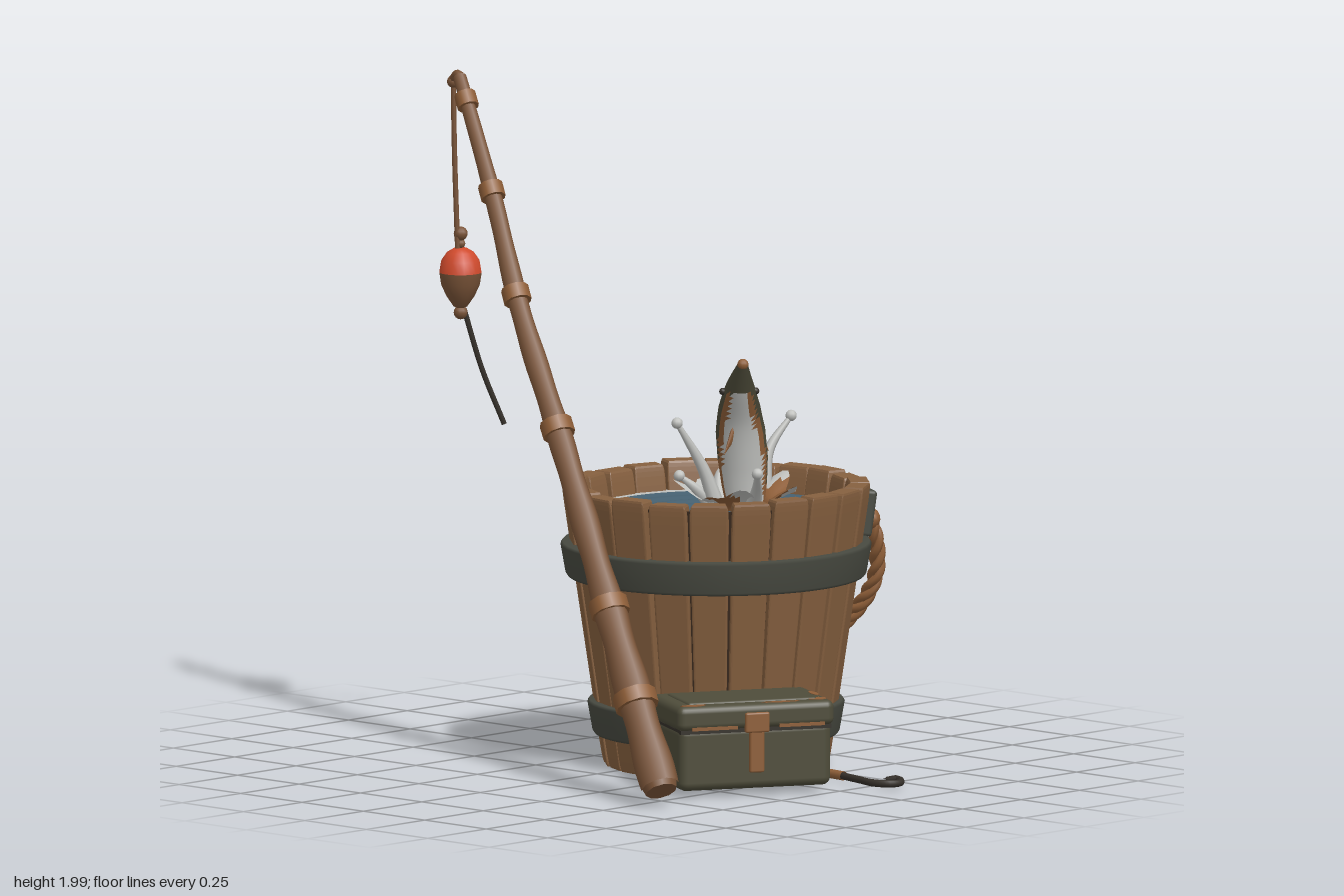
import * as THREE from 'three';
import { RoundedBoxGeometry } from 'three/addons/geometries/RoundedBoxGeometry.js';

const V = (x, y, z) => new THREE.Vector3(x, y, z);
const mat = (name, color, side = THREE.FrontSide) => {
  const m = new THREE.MeshStandardMaterial({ color, side });
  m.name = name;
  return m;
};

export function createModel() {
  const M = {
    wood: mat('stave wood', 0x86603f),
    dark: mat('dark gap', 0x3a2a1e),
    rod: mat('rod wood', 0x7a5438),
    iron: mat('iron band', 0x474940),
    olive: mat('olive paint', 0x4e4c3a),
    water: mat('water', 0x456070),
    red: mat('float red', 0xcf4a2c),
    foam: mat('foam', 0xbfc0bd, THREE.DoubleSide),
    rust: mat('rust brown', 0x8e5e38, THREE.DoubleSide),
    line: mat('dark line', 0x35302a),
  };
  const model = new THREE.Group();
  let seed = 7;
  const rnd = () => (seed = (seed * 16807) % 2147483647) / 2147483647;

  const add = (name, geo, material, pos = [0, 0, 0], parent = model) => {
    const m = new THREE.Mesh(geo, material);
    m.name = name;
    m.position.set(...pos);
    parent.add(m);
    return m;
  };
  const curve = pts => new THREE.CatmullRomCurve3(pts.map(p => V(...p)));
  // tube whose radius follows a rule along its length
  const taper = (path, segs, sides, radius) => {
    const g = new THREE.TubeGeometry(path, segs, 1, sides);
    const p = g.attributes.position, v = V(0, 0, 0);
    for (let i = 0; i < p.count; i++) {
      const t = Math.floor(i / (sides + 1)) / segs, c = path.getPointAt(t);
      v.fromBufferAttribute(p, i).sub(c).multiplyScalar(radius(t)).add(c);
      p.setXYZ(i, v.x, v.y, v.z);
    }
    return g;
  };
  // sorts the faces into material groups by their centre
  const paint = (geo, count, pick) => {
    const p = geo.attributes.position, idx = geo.index.array;
    const lists = Array.from({ length: count }, () => []), v = V(0, 0, 0), c = V(0, 0, 0);
    for (let i = 0; i < idx.length; i += 3) {
      c.set(0, 0, 0);
      for (let k = 0; k < 3; k++) c.addScaledVector(v.fromBufferAttribute(p, idx[i + k]), 1 / 3);
      lists[pick(c)].push(idx[i], idx[i + 1], idx[i + 2]);
    }
    geo.clearGroups();
    let start = 0;
    lists.forEach((l, i) => { geo.addGroup(start, l.length, i); start += l.length; });
    geo.setIndex(lists.flat());
    return geo;
  };

  // ---- bucket ----
  const bucket = new THREE.Group();
  bucket.name = 'bucket';
  bucket.position.set(0.143, 0, 0.11);
  model.add(bucket);
  const R = y => 0.33 + 0.125 * y / 0.845;
  const N = 22;
  for (let i = 0; i < N; i++) {
    const w = Math.PI * 2 / N, half = w * (0.455 + rnd() * 0.03);
    const top = 0.835 + rnd() * 0.015, out = (rnd() - 0.5) * 0.012;
    const g = new RoundedBoxGeometry(1, 1, 1, 2, 0.07), p = g.attributes.position;
    for (let k = 0; k < p.count; k++) {
      const y = 0.005 + (p.getY(k) + 0.5) * (top - 0.005);
      const a = i * w + p.getX(k) * 2 * half;
      const r = R(y) + out - 0.065 * (0.5 - p.getZ(k));
      p.setXYZ(k, Math.sin(a) * r, y, Math.cos(a) * r);
    }
    g.computeVertexNormals();
    add('stave', g, M.wood, [0, 0, 0], bucket);
  }
  add('staveGaps', new THREE.CylinderGeometry(R(0.82) - 0.022, R(0.02) - 0.022, 0.8, 44, 1, true), M.dark, [0, 0.42, 0], bucket);
  add('bucketFloor', new THREE.CylinderGeometry(0.29, 0.29, 0.03, 40), M.rod, [0, 0.055, 0], bucket);
  for (const [y0, y1, o] of [[0.1, 0.2, 0.02], [0.57, 0.67, 0.03]]) {
    const pts = [[R(y0) - 0.02, y0], [R(y0) + o - 0.006, y0], [R(y0) + o, y0 + 0.008], [R(y1) + o, y1 - 0.008],
      [R(y1) + o - 0.006, y1], [R(y1) - 0.02, y1]].map(q => new THREE.Vector2(...q));
    add('ironBand', new THREE.LatheGeometry(pts, 48), M.iron, [0, 0, 0], bucket);
  }
  // water with faint ripples
  const ripple = [];
  for (let i = 0; i <= 24; i++) ripple.push(new THREE.Vector2(0.4 * (1 - i / 24), 0.757 + 0.004 * Math.sin(i * 1.3)));
  add('water', new THREE.LatheGeometry(ripple, 48), M.water, [0, 0, 0], bucket);
  const foam = add('foamPatch', new THREE.RingGeometry(0.35, 0.4, 24, 1, 0.75, 1.1), M.foam, [0, 0.764, 0], bucket);
  foam.rotation.x = -Math.PI / 2;

  // ---- rope handle ----
  for (const [x, z] of [[0.41, 0.21], [-0.06, -0.455]]) {
    const ear = new THREE.Group();
    ear.name = 'handleEar';
    const a = Math.atan2(x, z);
    ear.position.set(Math.sin(a) * 0.452, 0.735, Math.cos(a) * 0.452);
    ear.rotation.set(0.14, a, 0, 'YXZ');
    bucket.add(ear);
    add('earPlate', new RoundedBoxGeometry(0.12, 0.14, 0.05, 2, 0.012), M.iron, [0, 0, 0], ear);
    add('earHole', new THREE.CircleGeometry(0.032, 16), M.dark, [0, -0.01, 0.027], ear);
    add('ropeKnot', new THREE.SphereGeometry(0.033, 12, 8), M.rust, [0, -0.02, 0.03], ear);
  }
  const ropePath = curve([[0.57, 0.71, 0.33], [0.605, 0.62, 0.325], [0.62, 0.52, 0.3], [0.61, 0.41, 0.22], [0.59, 0.33, 0.11],
    [0.575, 0.285, 0.0], [0.55, 0.285, -0.1], [0.43, 0.36, -0.28], [0.27, 0.47, -0.38], [0.15, 0.57, -0.415], [0.08, 0.67, -0.395], [0.08, 0.73, -0.36]]);
  const n = 150, fr = ropePath.computeFrenetFrames(n);
  for (let s = 0; s < 3; s++) {
    const pts = [];
    for (let i = 0; i <= n; i++) {
      const a = i * 0.42 + s * Math.PI * 2 / 3;
      pts.push(ropePath.getPointAt(i / n).addScaledVector(fr.normals[i], Math.cos(a) * 0.012).addScaledVector(fr.binormals[i], Math.sin(a) * 0.012));
    }
    add('ropeStrand', new THREE.TubeGeometry(new THREE.CatmullRomCurve3(pts), 200, 0.0135, 6), M.rust);
  }
  const grip = add('handleGrip', new THREE.CylinderGeometry(0.05, 0.062, 0.15, 10, 3), M.rod, [0.575, 0.295, 0.03]);
  grip.quaternion.setFromUnitVectors(V(0, 1, 0), V(0.1, 0.5, 0.9).normalize());
  for (const y of [-0.055, 0.05]) {
    const ring = add('gripRing', new THREE.TorusGeometry(0.052, 0.012, 8, 16), M.rust, [0, y, 0], grip);
    ring.rotation.x = Math.PI / 2;
  }

  // ---- fishing rod ----
  const rodPath = curve([[-0.585, 0.065, 0.575], [-0.47, 0.5, 0.28], [-0.34, 1.0, -0.06], [-0.24, 1.36, -0.325], [-0.145, 1.65, -0.52], [-0.06, 1.91, -0.71], [-0.035, 1.98, -0.765]]);
  const rodR = t => 0.053 - 0.033 * t + 0.004 * Math.sin(t * 55) * (1 - t) + (t < 0.25 ? 0.004 : 0);
  add('rod', taper(rodPath, 80, 10, rodR), M.rod);
  const tan0 = rodPath.getTangentAt(0);
  const butt = add('rodButt', new THREE.CylinderGeometry(0.055, 0.047, 0.03, 10), M.rod, rodPath.getPointAt(0).toArray());
  butt.quaternion.setFromUnitVectors(V(0, 1, 0), tan0);
  add('rodTip', new THREE.TubeGeometry(curve([[-0.037, 1.965, -0.755], [-0.03, 1.985, -0.775], [-0.02, 1.965, -0.805]]), 8, 0.015, 8), M.rod);
  add('rodTipEnd', new THREE.SphereGeometry(0.019, 10, 8), M.rod, [-0.02, 1.96, -0.805]);
  const nodes = [0.12, 0.25, 0.5, 0.69, 0.835, 0.965];
  for (const t of nodes) {
    const c = add('rodBinding', new THREE.CylinderGeometry(rodR(t) + 0.011, rodR(t) + 0.011, 0.045, 10), M.rust, rodPath.getPointAt(t).toArray());
    c.quaternion.setFromUnitVectors(V(0, 1, 0), rodPath.getTangentAt(t));
  }
  // line sagging between the bindings
  for (let i = 2; i < 5; i++) {
    const a = rodPath.getPointAt(nodes[i]), b = rodPath.getPointAt(nodes[i + 1]);
    const mid = a.clone().lerp(b, 0.45).add(V(0.03, -0.075, -0.01));
    add('saggingLine', new THREE.TubeGeometry(new THREE.CatmullRomCurve3([a, mid, b]), 20, 0.008, 6), M.rod);
  }

  // ---- line and float ----
  add('hangingLine', new THREE.TubeGeometry(curve([[-0.02, 1.96, -0.805], [-0.018, 1.75, -0.802], [-0.012, 1.46, -0.795]]), 12, 0.008, 6), M.rod);
  add('lowerLine', new THREE.TubeGeometry(curve([[0.01, 1.28, -0.79], [0.05, 1.1, -0.755], [0.098, 0.935, -0.71]]), 12, 0.008, 6), M.line);
  const bob = (name, pts, m) => add(name, new THREE.LatheGeometry(pts.map(q => new THREE.Vector2(...q)), 20), m, [-0.002, 1.38, -0.793]);
  bob('floatBottom', [[0.001, -0.1], [0.02, -0.092], [0.042, -0.06], [0.058, -0.025], [0.063, 0.01]], M.rod);
  bob('floatTop', [[0.063, 0.01], [0.057, 0.045], [0.04, 0.07], [0.02, 0.082], [0.001, 0.084]], M.red);
  for (const [y, r] of [[1.505, 0.021], [1.475, 0.014], [1.27, 0.021]])
    add('lineKnot', new THREE.SphereGeometry(r, 10, 8), M.rod, [0, y, -0.794]);

  // ---- leaping fish ----
  const fishPath = curve([[0.31, 0.74, 0.07], [0.295, 0.88, 0.075], [0.265, 1.02, 0.09], [0.23, 1.12, 0.125], [0.208, 1.195, 0.157]]);
  const prof = [0.055, 0.068, 0.075, 0.074, 0.062, 0.042, 0.014];
  const fishR = t => {
    const f = Math.min(t * 6, 5.999), i = Math.floor(f);
    return THREE.MathUtils.lerp(prof[i], prof[i + 1], f - i);
  };
  const belly = V(-0.72, 0, 0.69);
  const fish = paint(taper(fishPath, 30, 20, fishR), 3, c => {
    const t = THREE.MathUtils.clamp((c.y - 0.74) / 0.455, 0, 1);
    const d = c.clone().sub(fishPath.getPoint(t)).setY(0).dot(belly) / fishR(t);
    return t > 0.8 ? 0 : d > 0.5 ? 2 : d > 0.2 ? 1 : 0;
  });
  add('fishBody', fish, [M.olive, M.rust, M.foam]);
  add('fishSnout', new THREE.SphereGeometry(0.017, 10, 8), M.rust, [0.208, 1.192, 0.157]);
  const fin = (pos, dir, h) => {
    const f = add('fishFin', new THREE.ConeGeometry(0.035, h, 8), M.rust, pos);
    f.quaternion.setFromUnitVectors(V(0, 1, 0), V(...dir).normalize());
    f.scale.z = 0.3;
  };
  fin([0.2, 0.955, 0.11], [-0.7, -0.7, 0.2], 0.1);
  fin([0.335, 0.95, 0.1], [0.6, -0.8, 0.3], 0.1);
  fin([0.325, 1.0, 0.03], [0.7, -0.3, -0.7], 0.08);
  for (const [x, z] of [[0.272, 0.148], [0.198, 0.085]])
    add('fishEye', new THREE.SphereGeometry(0.011, 8, 6), M.line, [x, 1.105, z]);

  // ---- splash ----
  const crown = new THREE.CylinderGeometry(0.17, 0.1, 1, 60, 6, true), cp = crown.attributes.position;
  for (let i = 0; i < cp.count; i++) {
    const a = Math.atan2(cp.getX(i), cp.getZ(i)), u = cp.getY(i) + 0.5;
    const peak = 0.5 + 0.3 * Math.sin(5 * a) + 0.2 * Math.sin(8 * a + 1);
    const r = 0.09 + u * u * (0.035 + 0.08 * peak);
    cp.setXYZ(i, Math.sin(a) * r, u * (0.02 + 0.07 * peak), Math.cos(a) * r);
  }
  crown.computeVertexNormals();
  paint(crown, 2, c => (Math.sin(5 * Math.atan2(c.x, c.z) + c.y * 30) > -0.1 ? 1 : 0));
  add('splashCrown', crown, [M.foam, M.rust], [0.25, 0.755, 0.11]);
  const drips = [
    [[0.16, 0.76, 0.1], [0.13, 0.88, 0.07], [0.06, 1.02, 0.03]],
    [[0.38, 0.76, 0.08], [0.42, 0.9, 0.06], [0.495, 1.0, 0.08]],
    [[0.2, 0.76, 0.2], [0.17, 0.83, 0.25], [0.12, 0.89, 0.3]],
    [[0.26, 0.76, 0.02], [0.3, 0.84, -0.02], [0.36, 0.88, 0.0]],
    [[0.17, 0.76, 0.08], [0.12, 0.82, 0.05], [0.08, 0.86, 0.02]]];
  for (const d of drips) {
    add('splashDrip', taper(curve(d), 14, 8, t => 0.026 - 0.019 * t), M.foam);
    add('splashDrop', new THREE.SphereGeometry(0.017, 10, 8), M.foam, d[2]);
  }

  // ---- tackle box ----
  const box = new THREE.Group();
  box.name = 'tackleBox';
  box.position.set(-0.165, 0, 0.508);
  box.rotation.y = -0.5;
  model.add(box);
  add('boxBody', new RoundedBoxGeometry(0.47, 0.19, 0.28, 3, 0.025), M.olive, [0, 0.12, 0], box);
  add('boxSeam', new THREE.BoxGeometry(0.466, 0.012, 0.278), M.line, [0, 0.202, 0], box);
  add('boxLid', new RoundedBoxGeometry(0.485, 0.075, 0.295, 3, 0.022), M.olive, [0, 0.242, 0], box);
  add('boxLidPanel', new RoundedBoxGeometry(0.4, 0.02, 0.21, 2, 0.009), M.olive, [0, 0.275, 0], box);
  add('claspPlate', new RoundedBoxGeometry(0.075, 0.06, 0.02, 2, 0.006), M.rust, [0, 0.225, 0.147], box);
  add('claspTongue', new RoundedBoxGeometry(0.045, 0.13, 0.02, 2, 0.006), M.rust, [0, 0.14, 0.142], box);
  for (const x of [-0.14, 0.14]) add('hinge', new THREE.CylinderGeometry(0.012, 0.012, 0.07, 10).rotateZ(Math.PI / 2), M.rust, [x, 0.2, -0.145], box);
  // worn paint
  for (const [x, z, w, d] of [[0.2, 0.1, 0.06, 0.05], [0.222, 0.0, 0.022, 0.08], [-0.19, 0.125, 0.08, 0.02], [0.08, 0.125, 0.12, 0.014]])
    add('wornPatch', new THREE.CylinderGeometry(0.5, 0.5, 0.004, 7).scale(w, 1, d), M.rust, [x, 0.279, z], box);
  for (const x of [-0.13, 0.14]) add('wornRim', new THREE.BoxGeometry(0.14, 0.01, 0.006), M.rust, [x, 0.212, 0.146], box);

  // ---- loose hook ----
  const hook = curve([[0.143, 0.022, 0.62], [0.122, 0.022, 0.71], [0.105, 0.022, 0.79], [0.125, 0.022, 0.835], [0.16, 0.022, 0.842], [0.19, 0.025, 0.81], [0.182, 0.028, 0.76]]);
  add('hook', taper(hook, 40, 8, t => (t > 0.9 ? 0.011 * (1 - t) * 10 : 0.011)), M.line);
  add('hookBarb', new THREE.ConeGeometry(0.012, 0.04, 6).rotateX(-Math.PI / 2).rotateY(0.7), M.line, [0.176, 0.026, 0.785]);
  add('hookBinding', new THREE.TubeGeometry(curve([[0.152, 0.022, 0.54], [0.148, 0.022, 0.58], [0.142, 0.022, 0.63]]), 8, 0.014, 8), M.rust);
  return model;
}
